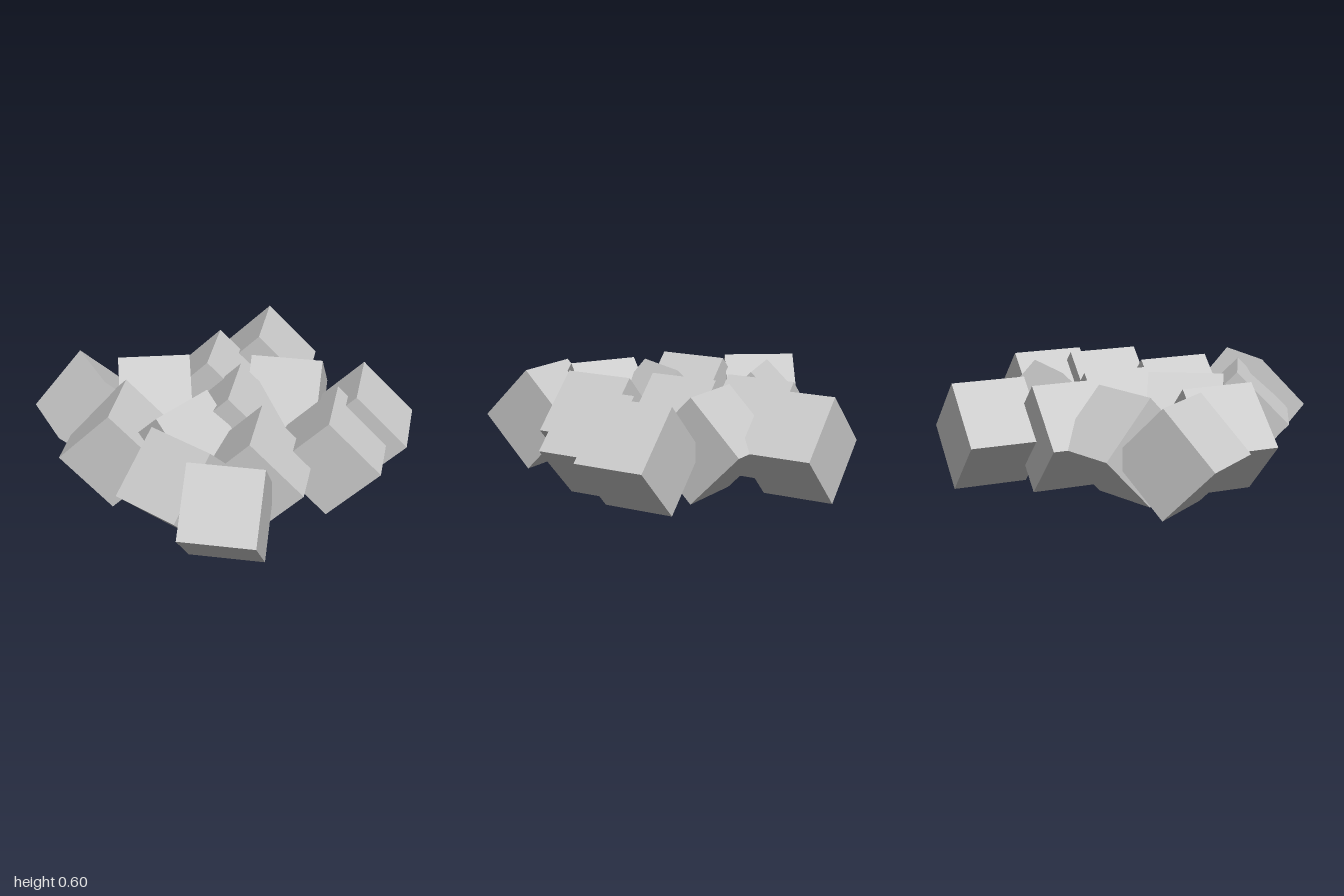
import * as THREE from 'three';

// Cubes balanced on one edge: [centre x, centre z, ridge heading in degrees from +x towards +z]
const CUBES = [
  [0.605, -0.608, -45],
  [0.631, 0.309, -45],
  [0.323, 0.448, -45],
  [-0.160, 0.371, -45],
  [-0.532, 0.619, 45],
  [-0.588, 0.265, 75],
  [-0.372, -0.051, -14.5],
  [-0.636, -0.320, -45],
  [-0.564, -0.725, 100],
  [-0.203, -0.619, 30],
  [0.163, -0.518, -45],
  [0.021, -0.096, -45],
  [0.436, -0.144, 45],
];

export function createModel() {
  const group = new THREE.Group();
  group.name = 'cubeCluster';
  const edge = 0.427;
  const geometry = new THREE.BoxGeometry(edge, edge, edge);
  const material = new THREE.MeshStandardMaterial({ color: 0xcccccc, flatShading: true });

  CUBES.forEach(([x, z, heading], i) => {
    const cube = new THREE.Mesh(geometry, material);
    cube.name = `tiltedCube${i + 1}`;
    // Tip onto an edge about the ridge, then turn about the vertical
    cube.rotation.set(Math.PI / 4, -THREE.MathUtils.degToRad(heading), 0, 'YXZ');
    cube.position.set(x, edge * Math.SQRT1_2, z);
    group.add(cube);
  });
  return group;
}
